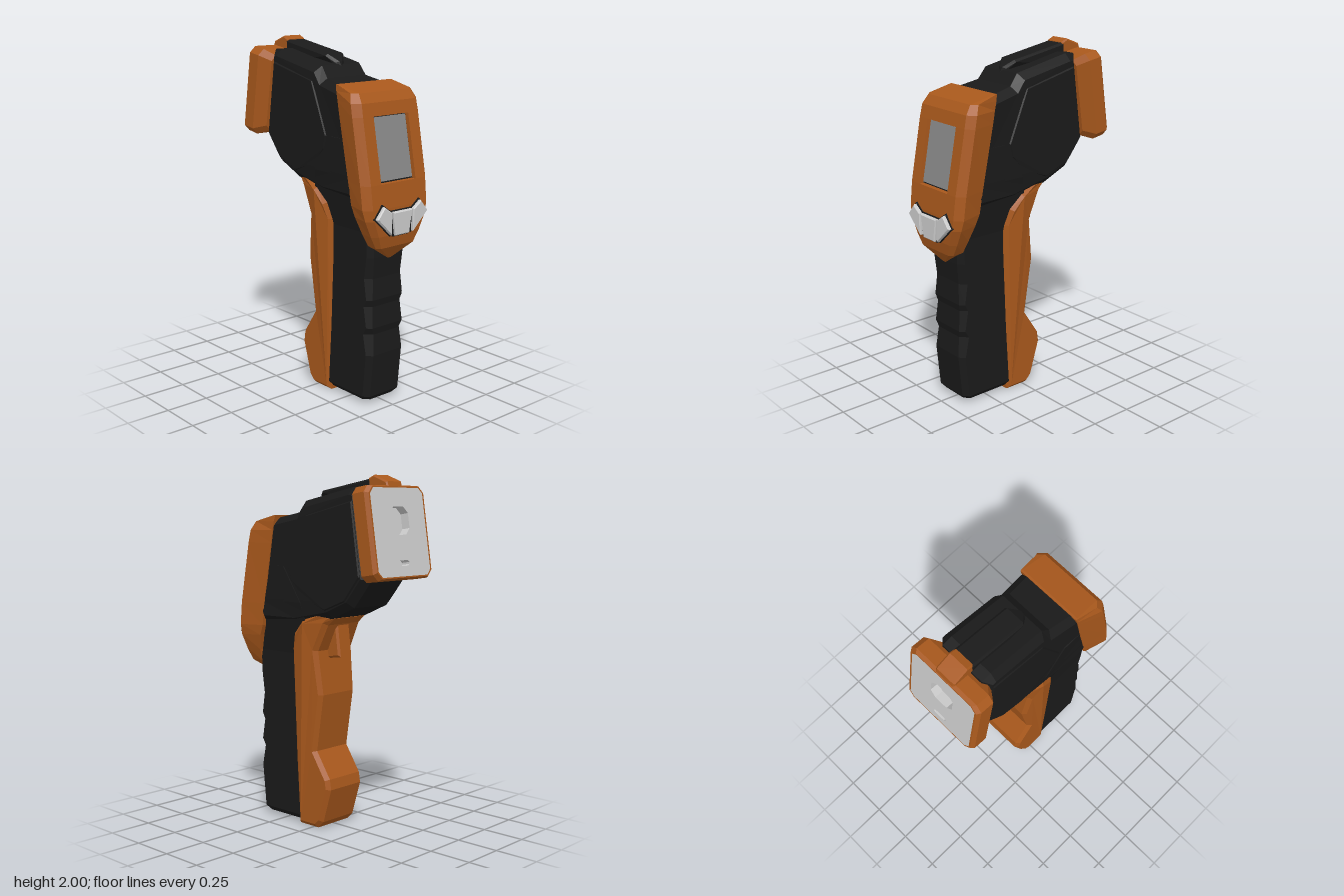
import * as THREE from 'three';

const paint = (color) => new THREE.MeshStandardMaterial({ color, flatShading: true });
const ORANGE = paint(0xa8581c), BLACK = paint(0x1a1a1a), GREY = paint(0xcccccc), SCREEN = paint(0x888888);

function add(parent, name, geometry, material) {
  const mesh = new THREE.Mesh(geometry, material);
  mesh.name = name;
  parent.add(mesh);
  return mesh;
}

const toShape = (pts) => new THREE.Shape(pts.map(([x, y]) => new THREE.Vector2(x, y)));

// Piecewise-linear lookup through [input, output] pairs
function ramp(pairs, t) {
  if (t <= pairs[0][0]) return pairs[0][1];
  for (let i = 1; i < pairs.length; i++) {
    const [a, va] = pairs[i - 1], [b, vb] = pairs[i];
    if (t <= b) return va + (vb - va) * (t - a) / (b - a);
  }
  return pairs[pairs.length - 1][1];
}

// Side outline thickened both ways along z to halfWidth(x, y), with a chamfer
function slab(outline, chamfer, halfWidth) {
  const geo = new THREE.ExtrudeGeometry(toShape(outline), {
    depth: 1, bevelSize: chamfer, bevelOffset: -chamfer, bevelThickness: chamfer, bevelSegments: 1,
  });
  const p = geo.attributes.position;
  for (let i = 0; i < p.count; i++) {
    const z = p.getZ(i), w = halfWidth(p.getX(i), p.getY(i));
    const onCap = z < -1e-4 || z > 1 + 1e-4;
    p.setZ(i, (z < 0.5 ? -1 : 1) * (onCap ? w : Math.max(w - chamfer, 0.002)));
  }
  geo.computeVertexNormals();
  return geo;
}

// Closed skin through rings of equal point count, fan caps, turned outward by volume
function loft(rings) {
  const tris = [], n = rings[0].length;
  for (let r = 0; r < rings.length - 1; r++) {
    for (let i = 0; i < n; i++) {
      const j = (i + 1) % n, A = rings[r], B = rings[r + 1];
      tris.push([A[i], A[j], B[j]], [A[i], B[j], B[i]]);
    }
  }
  const first = rings[0], last = rings[rings.length - 1];
  for (let i = 1; i < n - 1; i++) {
    tris.push([first[0], first[i + 1], first[i]], [last[0], last[i], last[i + 1]]);
  }
  const vec = tris.map((t) => t.map((q) => new THREE.Vector3(...q)));
  const volume = vec.reduce((s, [a, b, c]) => s + a.dot(b.clone().cross(c)), 0);
  const solid = vec.filter(([a, b, c]) => b.clone().sub(a).cross(c.clone().sub(a)).length() > 1e-8);
  const points = solid.flatMap(([a, b, c]) => (volume > 0 ? [a, b, c] : [a, c, b]));
  const geo = new THREE.BufferGeometry().setFromPoints(points);
  geo.computeVertexNormals();
  return geo;
}

const cutRect = (w, h, c) => [
  [-w + c, -h], [w - c, -h], [w, -h + c], [w, h - c], [w - c, h], [-w + c, h], [-w, h - c], [-w, -h + c],
];

export function createModel() {
  const model = new THREE.Group();
  model.name = 'handheldThermometer';

  // Head, its raised side panels and the ridge along the top
  const headWidth = (x) => ramp([[0.05, 0.174], [0.25, 0.195]], x);
  add(model, 'head', slab([
    [-0.43, 1.44], [-0.36, 1.35], [-0.31, 1.29], [-0.15, 1.22], [0.1, 1.17], [0.36, 1.17], [0.43, 1.3],
    [0.36, 1.72], [0.25, 1.77], [0.1, 1.8], [0.05, 1.865], [-0.3, 1.935], [-0.36, 1.93],
  ], 0.04, headWidth), BLACK);
  add(model, 'sidePanels', slab([
    [-0.39, 1.46], [-0.28, 1.32], [-0.13, 1.26], [0.04, 1.32], [0.13, 1.42], [0.15, 1.5], [0.02, 1.79], [-0.33, 1.87],
  ], 0.012, (x) => headWidth(x) + 0.007), BLACK);
  add(model, 'topRidge', slab([
    [-0.36, 1.85], [0.06, 1.8], [0.06, 1.85], [0.05, 1.88], [0.0, 1.92], [-0.36, 1.982],
  ], 0.012, (x) => ramp([[0, 0.065], [0.06, 0.013]], x)), BLACK);

  // Handle: [height, front x, back x, half-width, corner cut]
  const handle = [
    [0.02, 0.06, 0.4, 0.11, 0.03], [0.05, 0.05, 0.425, 0.135, 0.03], [0.3, 0.05, 0.45, 0.135, 0.03],
    [0.42, 0.05, 0.436, 0.135, 0.04], [0.46, 0.05, 0.445, 0.135, 0.025], [0.58, 0.05, 0.434, 0.135, 0.035],
    [0.62, 0.05, 0.444, 0.135, 0.025], [0.74, 0.05, 0.436, 0.135, 0.035], [0.86, 0.05, 0.448, 0.135, 0.03],
    [1.0, 0.03, 0.45, 0.138, 0.03], [1.16, 0.02, 0.39, 0.165, 0.03], [1.3, 0.05, 0.38, 0.188, 0.03],
    [1.5, 0.18, 0.36, 0.192, 0.03],
  ];
  add(model, 'handle', loft(handle.map(([y, f, b, w, c]) => [
    [f, y, -w], [b - c, y, -w], [b, y, -w + c], [b, y, w - c], [b - c, y, w], [f, y, w],
  ])), BLACK);

  // Front grip, flaring out where it meets the head
  add(model, 'frontGrip', slab([
    [0.115, 0], [0.14, 0.4], [0.15, 1.03], [0.12, 1.12], [0.05, 1.2], [-0.05, 1.25], [-0.13, 1.25], [-0.155, 1.22],
    [-0.11, 1.18], [-0.04, 1.03], [-0.07, 0.78], [-0.02, 0.45], [-0.12, 0.3], [-0.13, 0.24], [-0.07, 0.04], [-0.03, 0],
  ], 0.022, (x, y) => 0.145 + 0.042 * ramp([[0.95, 0], [1.15, 1]], y) * ramp([[-0.12, 0], [0, 1]], x)), ORANGE);
  add(model, 'trigger', slab([
    [-0.13, 0.995], [-0.03, 0.98], [0, 1.2], [-0.1, 1.22], [-0.11, 1.15],
  ], 0.012, () => 0.055), ORANGE);

  // Rear housing: [height, seam x, back x, seam half-width, half-width, corner cut, screen recess]
  const rear = [
    [0.85, 0.435, 0.458, 0.006, 0.012, 0.004, 0], [0.93, 0.425, 0.515, 0.13, 0.138, 0.02, 0],
    [1.0, 0.41, 0.53, 0.16, 0.178, 0.03, 0], [1.09, 0.38, 0.537, 0.185, 0.22, 0.035, 0],
    [1.15, 0.355, 0.535, 0.19, 0.235, 0.04, 0], [1.28, 0.335, 0.52, 0.195, 0.238, 0.04, 0],
    [1.28, 0.335, 0.52, 0.195, 0.238, 0.04, 0.035], [1.63, 0.268, 0.455, 0.2, 0.238, 0.04, 0.035],
    [1.63, 0.268, 0.455, 0.2, 0.238, 0.04, 0], [1.7, 0.255, 0.44, 0.2, 0.235, 0.04, 0],
    [1.75, 0.245, 0.405, 0.2, 0.214, 0.03, 0], [1.785, 0.237, 0.25, 0.195, 0.198, 0.005, 0],
  ];
  add(model, 'rearHousing', loft(rear.map(([y, f, b, wf, w, c, d]) => {
    const s = Math.min(0.125, w - c);
    const half = [[f, wf], [b - c, w], [b, w - c], [b, s], [b - d, s]];
    return [...half.map(([x, z]) => [x, y, -z]), ...half.reverse().map(([x, z]) => [x, y, z])];
  })), ORANGE);

  // Screen and its dark surround, sunk into the rear housing
  const display = new THREE.Group();
  display.name = 'display';
  display.position.set(0.457, 1.455, 0);
  display.rotation.z = 0.184;
  model.add(display);
  add(display, 'screenSurround', new THREE.BoxGeometry(0.012, 0.354, 0.25), BLACK);
  add(display, 'screen', new THREE.BoxGeometry(0.02, 0.338, 0.234), SCREEN).position.x = 0.004;

  // Three buttons under the screen, each on a dark base
  const sideButton = [[0.078, 1.005], [0.185, 1.105], [0.133, 1.168], [0.078, 1.128]];
  const buttons = [
    ['centreButton', [[-0.05, 1.0], [0.05, 1.0], [0.07, 1.13], [-0.07, 1.13]]],
    ['leftButton', sideButton],
    ['rightButton', sideButton.map(([z, y]) => [-z, y]).reverse()],
  ];
  for (const [name, pts] of buttons) {
    const cap = new THREE.ExtrudeGeometry(toShape(pts), {
      depth: 0.05, bevelSize: 0.006, bevelOffset: -0.006, bevelThickness: 0.006, bevelSegments: 1,
    });
    add(model, name, cap.rotateY(Math.PI / 2).translate(0.504, 0, 0), GREY);
    const base = new THREE.ExtrudeGeometry(toShape(pts), {
      depth: 0.05, bevelSize: 0.007, bevelThickness: 0.001, bevelSegments: 1,
    });
    add(model, name + 'Base', base.rotateY(Math.PI / 2).translate(0.49, 0, 0), BLACK);
  }

  // Tilted nose: bezel with a pit holding the sensor plate (local +z points forward)
  const nose = new THREE.Group();
  nose.name = 'nose';
  const up = new THREE.Vector3(0.155, 0.988, 0).normalize();
  const out = new THREE.Vector3(-up.y, up.x, 0);
  nose.setRotationFromMatrix(new THREE.Matrix4().makeBasis(new THREE.Vector3(0, 0, 1), up, out));
  nose.position.set(-0.52, 1.7, 0);
  model.add(nose);
  const bezel = [
    [0.18, 0.22, 0.03, -0.15], [0.24, 0.25, 0.035, -0.1], [0.24, 0.25, 0.035, -0.02],
    [0.225, 0.242, 0.035, 0], [0.215, 0.235, 0.03, 0], [0.215, 0.235, 0.03, -0.06],
  ];
  add(nose, 'bezel', loft(bezel.map(([w, h, c, z]) => cutRect(w, h, c).map(([x, y]) => [x, y, z]))), ORANGE);
  const plate = toShape(cutRect(0.215, 0.235, 0.03));
  const hole = (w, h, c, y) => new THREE.Path(cutRect(w, h, c).map(([a, b]) => new THREE.Vector2(a, b + y)).reverse());
  plate.holes.push(hole(0.075, 0.075, 0.035, 0.06), hole(0.042, 0.015, 0.01, -0.165));
  add(nose, 'sensorPlate', new THREE.ExtrudeGeometry(plate, { depth: 0.05, bevelEnabled: false }).translate(0, 0, -0.05), GREY);
  add(nose, 'sensorBacking', new THREE.BoxGeometry(0.36, 0.4, 0.006).translate(0, 0, -0.054), GREY);

  // Sight tab on top of the bezel
  add(model, 'sightTab', slab([
    [-0.485, 1.92], [-0.34, 1.9], [-0.34, 1.982], [-0.38, 2.0], [-0.47, 1.965],
  ], 0.008, () => 0.063), ORANGE);

  return model;
}
